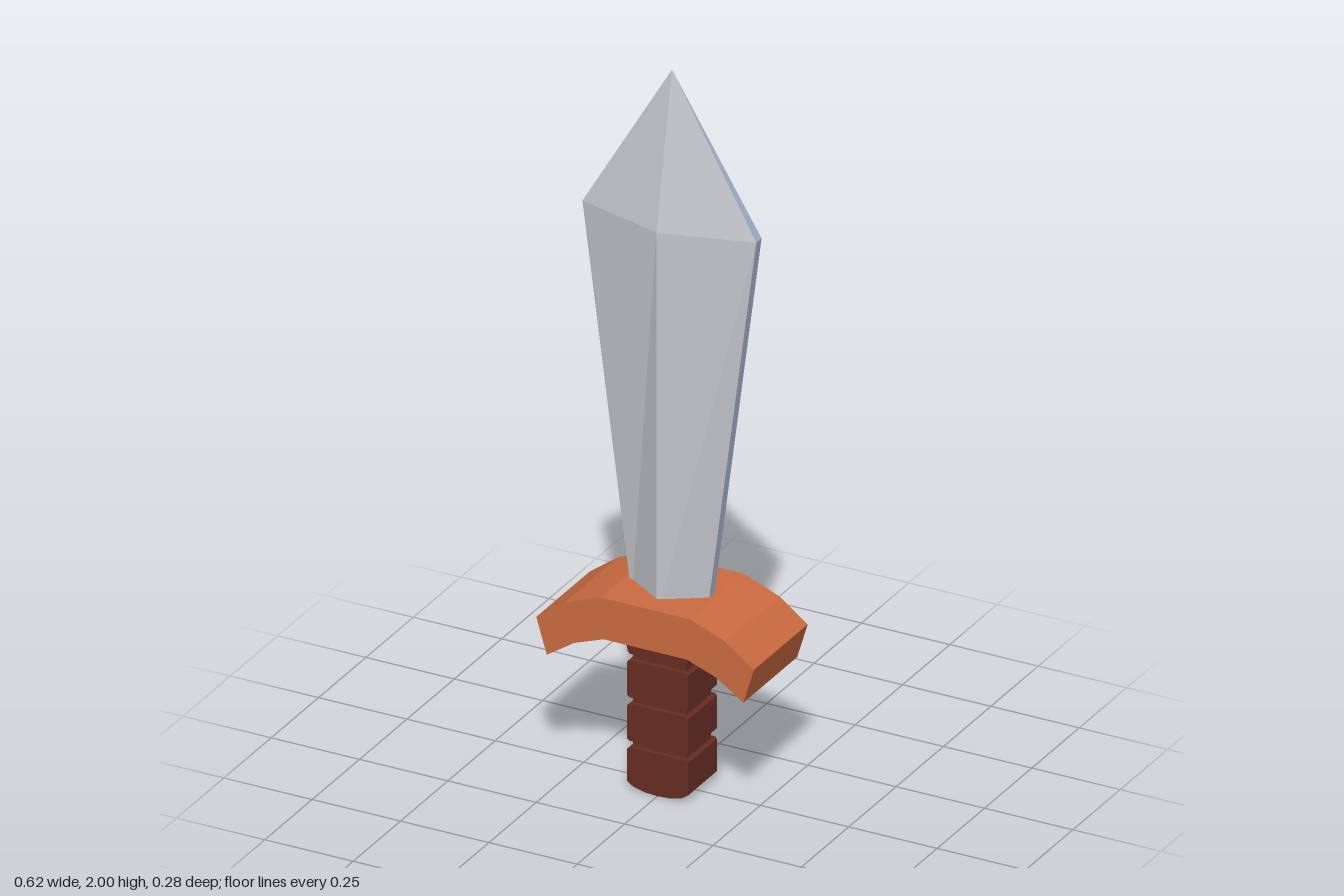
import * as THREE from 'three';

const material = (name, color) => {
  const m = new THREE.MeshStandardMaterial({ color });
  m.name = name;
  return m;
};

// Extrude a front outline, given as its right half from top to bottom, mirrored in x
function mirroredSlab(half, depth) {
  const left = half.filter(([x]) => x > 0).map(([x, y]) => [-x, y]).reverse();
  const shape = new THREE.Shape([...half, ...left].map(([x, y]) => new THREE.Vector2(x, y)));
  const g = new THREE.ExtrudeGeometry(shape, { depth, bevelEnabled: false });
  return g.translate(0, 0, -depth / 2);
}

// Flat-shaded faces from convex polygons wound anticlockwise from outside
function faces(polygons) {
  const p = [];
  for (const poly of polygons)
    for (let i = 1; i < poly.length - 1; i++) p.push(...poly[0], ...poly[i], ...poly[i + 1]);
  const g = new THREE.BufferGeometry();
  g.setAttribute('position', new THREE.Float32BufferAttribute(p, 3));
  g.computeVertexNormals();
  return g;
}

export function createModel() {
  const steel = material('steel', 0xc3c5cb);
  const edgeSteel = material('edge steel', 0xa6b4d1);
  const copper = material('copper', 0xcb6b40);
  const leather = material('brown leather', 0x672d24);

  const sword = new THREE.Group();
  sword.name = 'sword';
  const add = (name, geometry, mat, parent = sword) => {
    const mesh = new THREE.Mesh(geometry, mat);
    mesh.name = name;
    parent.add(mesh);
    return mesh;
  };

  // Blade: six-sided rings, widening upward, then closing to a point
  const ring = (y, w) => [
    [w, y, -0.014], [0, y, -0.082], [-w, y, -0.014],
    [-w, y, 0.014], [0, y, 0.082], [w, y, 0.014],
  ];
  const low = ring(0.5, 0.106), high = ring(1.58, 0.246), tip = [0, 2, 0];
  const flats = [low.slice()], edges = [];
  for (let i = 0; i < 6; i++) {
    const j = (i + 1) % 6;
    const target = i === 2 || i === 5 ? edges : flats;
    target.push([low[j], low[i], high[i], high[j]], [high[j], high[i], tip]);
  }
  // Ring order runs clockwise seen from above, so reverse the side faces to face outward
  const outward = (polys) => polys.map((poly) => {
    const [a, b, c] = poly.map((v) => new THREE.Vector3(...v));
    const n = b.clone().sub(a).cross(c.clone().sub(a));
    const mid = poly.reduce((s, v) => s.add(new THREE.Vector3(...v)), new THREE.Vector3())
      .divideScalar(poly.length).sub(new THREE.Vector3(0, 1.2, 0));
    return n.dot(mid) < 0 ? poly.slice().reverse() : poly;
  });
  const blade = new THREE.Group();
  blade.name = 'blade';
  sword.add(blade);
  add('bladeFlats', faces(outward(flats)), steel, blade);
  add('bladeEdges', faces(outward(edges)), edgeSteel, blade);

  // Drooping crossguard
  add('crossguard', mirroredSlab([
    [0.127, 0.555], [0.228, 0.516], [0.308, 0.457],
    [0.278, 0.358], [0.2, 0.41], [0.118, 0.44],
  ], 0.284), copper);

  // Grip: wrapped segments over a narrower core
  const grip = new THREE.Group();
  grip.name = 'grip';
  sword.add(grip);
  add('gripCore', new THREE.BoxGeometry(0.152, 0.4, 0.128).translate(0, 0.25, 0), leather, grip);
  const c = 0.006;
  for (const [bottom, top] of [[0.136, 0.24], [0.258, 0.362]])
    add('gripSegment', mirroredSlab([
      [0.086 - c, top], [0.086, top - c], [0.086, bottom + c], [0.086 - c, bottom],
    ], 0.154), leather, grip);
  add('gripCollar', mirroredSlab([[0.097, 0.45], [0.084, 0.386], [0.078, 0.38]], 0.154), leather, grip);
  add('pommel', mirroredSlab([
    [0.08, 0.118], [0.086, 0.112], [0.086, 0.022], [0.068, 0.01], [0.036, 0.002], [0, 0],
  ], 0.154), leather, grip);

  return sword;
}
